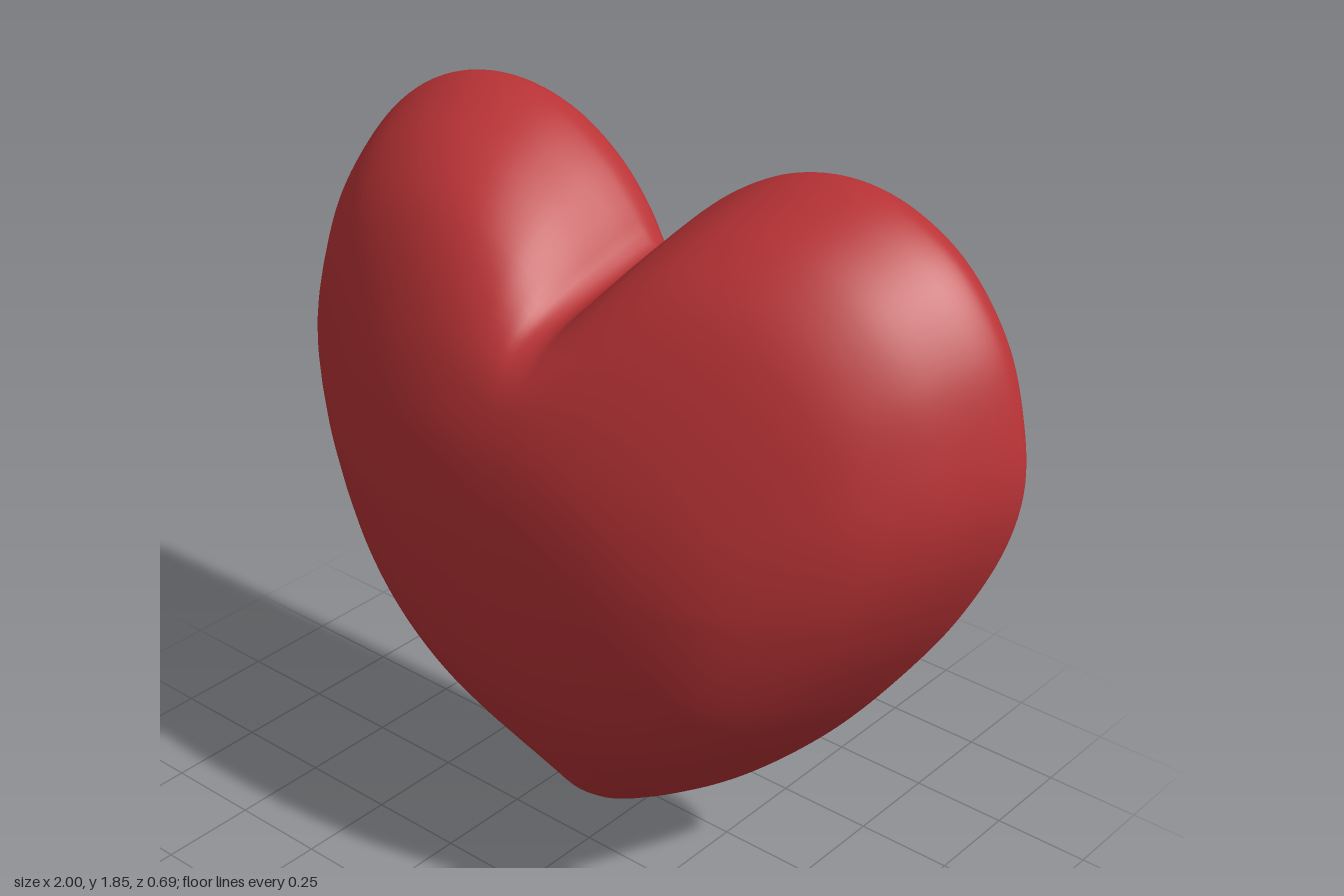
import * as THREE from 'three';
import { mergeVertices } from 'three/addons/utils/BufferGeometryUtils.js';

const CENTRE_Y = 1;
const SEGMENTS = 224;
const RINGS = 80;

// Right half of the heart outline, from the cleft round to the tip
const HALF = [
  [0, 1.555], [0.03, 1.567], [0.09, 1.64], [0.19, 1.735], [0.34, 1.82], [0.5, 1.85],
  [0.65, 1.825], [0.8, 1.74], [0.92, 1.59], [0.98, 1.42], [1, 1.27], [0.973, 1.12],
  [0.88, 0.91], [0.76, 0.72], [0.56, 0.46], [0.3, 0.205], [0.1, 0.06], [0, 0],
];

// Section from the front centre, over the rounded rim, into the dished back: [scale, z]
const SECTION = [
  [0, 0.345], [0.2, 0.337], [0.4, 0.308], [0.6, 0.243], [0.8, 0.115], [0.9, -0.01],
  [0.96, -0.13], [0.993, -0.22], [0.998, -0.27], [0.975, -0.32], [0.93, -0.342],
  [0.87, -0.345], [0.8, -0.333], [0.7, -0.305], [0.55, -0.268], [0.35, -0.235],
  [0.15, -0.218], [0, -0.215],
];

function curveThrough(points) {
  return new THREE.CatmullRomCurve3(points.map(([x, y]) => new THREE.Vector3(x, y, 0)), false, 'centripetal');
}

// Closed outline relative to its centre, clockwise from the cleft
function heartOutline() {
  const half = curveThrough(HALF).getSpacedPoints(SEGMENTS / 2);
  half.forEach((p) => { p.y -= CENTRE_Y; });
  const mirrored = half.slice(1, -1).reverse().map((p) => new THREE.Vector3(-p.x, p.y, 0));
  return [...half, ...mirrored];
}

function heartGeometry() {
  const outline = heartOutline();
  const section = curveThrough(SECTION).getPoints(RINGS);
  const rimRow = section.reduce((best, p, i) => (p.x > section[best].x ? i : best), 0);
  const positions = [];
  const indices = [];

  section.forEach(({ x: scale, y: depth }, row) => {
    const s = Math.max(0, scale);
    // Rings grow rounder towards the middle, so cleft and tip fade out
    const round = THREE.MathUtils.smoothstep(1 - s, 0, 0.55);
    const rim = THREE.MathUtils.smoothstep(-depth, 0.22, 0.345);
    for (const p of outline) {
      const radius = p.length();
      const up = p.y / radius;
      const roundRadius = 0.99 - 0.26 * Math.max(0, up) ** 2;
      const r = THREE.MathUtils.lerp(radius, roundRadius, round) * s;
      const x = (p.x / radius) * r;
      const y = CENTRE_Y + up * r;
      // Rim leans forward at the tip and dips at the cleft
      let z = depth + rim * 0.05 * Math.max(0, 1 - y / 1.75);
      if (up > 0) z += rim * 0.04 * Math.exp(-Math.abs(x) / 0.1);
      // Leaner belly towards the tip
      if (row < rimRow) z -= 0.65 * s ** 4 * (1 - s) * Math.max(0, -up);
      positions.push(x, y, z);
    }
  });

  const n = outline.length;
  for (let i = 0; i < RINGS; i++) {
    for (let j = 0; j < n; j++) {
      const k = (j + 1) % n;
      const a = i * n + j, a2 = i * n + k;
      const b = a + n, b2 = a2 + n;
      if (i < RINGS - 1) indices.push(a, b2, b);
      else indices.push(a, a2, b);
      if (i > 0 && i < RINGS - 1) indices.push(a, a2, b2);
    }
  }

  let geometry = new THREE.BufferGeometry();
  geometry.setAttribute('position', new THREE.Float32BufferAttribute(positions, 3));
  geometry.setIndex(indices);
  geometry = mergeVertices(geometry, 1e-5);
  geometry.computeVertexNormals();
  return geometry;
}

export function createModel() {
  const red = new THREE.MeshStandardMaterial({ color: 0xb93336 });
  red.name = 'red';
  const heart = new THREE.Mesh(heartGeometry(), red);
  heart.name = 'heart';
  const group = new THREE.Group();
  group.name = 'dishedHeart';
  group.add(heart);
  return group;
}
